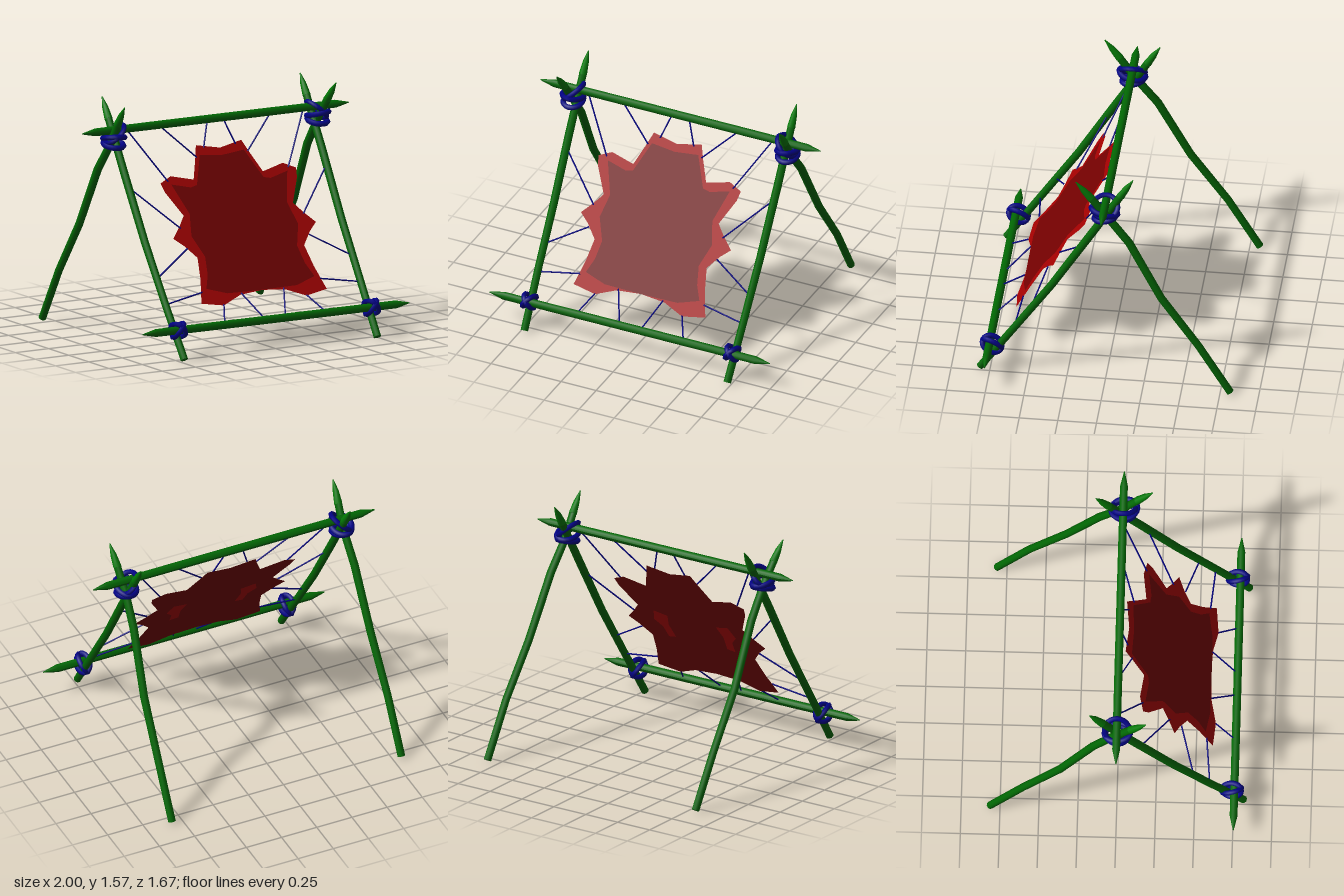
import * as THREE from 'three';

const V = (x, y, z) => new THREE.Vector3(x, y, z);
const mat = (name, color) => Object.assign(new THREE.MeshStandardMaterial({ color }), { name });

export function createModel() {
  const root = new THREE.Group();
  const wood = mat('green wood', 0x016703);
  const cutWood = mat('fresh cut green wood', 0x027a04);
  const rope = mat('navy rope', 0x010186);
  const hideRed = mat('bright red hide', 0xa60101);
  const hideDark = mat('dark red hide', 0x750101);

  const add = (geo, material, name, parent = root) => {
    const m = new THREE.Mesh(geo, material);
    m.name = name;
    parent.add(m);
    return m;
  };

  // Pole swept through points, with one radius per point
  function poleGeometry(pts, radii, side) {
    const n = pts.length - 1;
    const geo = new THREE.CylinderGeometry(1, 1, 1, 9, n);
    const p = geo.attributes.position;
    for (let i = 0; i < p.count; i++) {
      const k = Math.round((p.getY(i) + 0.5) * n);
      const t = pts[Math.min(k + 1, n)].clone().sub(pts[Math.max(k - 1, 0)]).normalize();
      const w = side.clone().cross(t).normalize();
      const u = t.clone().cross(w);
      const q = pts[k].clone()
        .addScaledVector(u, p.getX(i) * radii[k])
        .addScaledVector(w, p.getZ(i) * radii[k]);
      p.setXYZ(i, q.x, q.y, q.z);
    }
    geo.computeVertexNormals();
    return geo;
  }

  // Closed rope loop in the plane of u and v
  function loop(c, u, v, a, b, r, name, parent) {
    const pts = [];
    for (let i = 0; i < 12; i++) {
      const t = i / 12 * Math.PI * 2;
      pts.push(c.clone().addScaledVector(u, a * Math.cos(t)).addScaledVector(v, b * Math.sin(t)));
    }
    const curve = new THREE.CatmullRomCurve3(pts, true);
    add(new THREE.TubeGeometry(curve, 24, r, 6, true), rope, name, parent);
  }

  // Crossbars with sharpened ends
  for (const [name, y, z] of [['topBar', 1.383, 0], ['bottomBar', 0.198, 0.755]]) {
    const xs = [-1, -0.9, -0.4, 0.4, 0.9, 1];
    add(poleGeometry(xs.map(x => V(x, y, z)), [0.003, 0.026, 0.027, 0.027, 0.026, 0.003], V(0, 1, 0)), wood, name);
  }

  // Bent legs that cross under the top bar; path points are x, y, z and a sideways shift
  const frontPath = [[0.724, 0.015, 0.815, 0.002], [0.733, 0.36, 0.582], [0.738, 0.705, 0.35], [0.743, 1.107, 0.107],
    [0.743, 1.3, -0.01], [0.743, 1.44, -0.095], [0.743, 1.51, -0.138], [0.743, 1.572, -0.177]];
  const backPath = [[0.815, 0.015, -0.815, 0.008], [0.815, 0.366, -0.607, 0.008], [0.805, 0.71, -0.366, 0.005],
    [0.785, 1.11, -0.156], [0.775, 1.3, -0.01], [0.785, 1.44, 0.09], [0.79, 1.505, 0.14], [0.794, 1.565, 0.187]];
  for (const s of [1, -1]) {
    const word = s > 0 ? 'left' : 'right';
    for (const [part, path] of [['FrontLeg', frontPath], ['BackLeg', backPath]]) {
      const pts = path.map(([x, y, z, shift = 0]) => V(s * x + shift, y, z));
      add(poleGeometry(pts.slice(0, 6), [0.025, 0.025, 0.026, 0.027, 0.026, 0.025], V(1, 0, 0)), wood, word + part);
      add(poleGeometry(pts.slice(5), [0.027, 0.02, 0.003], V(1, 0, 0)), cutWood, word + part + 'Tip');
    }

    // Lashing at the apex: two wraps under the bar and one loop over it
    const top = new THREE.Group();
    top.name = word + 'TopLashing';
    root.add(top);
    loop(V(s * 0.765, 1.335, 0.005), V(1, s * 0.1, 0).normalize(), V(0, 0.22, 1).normalize(), 0.066, 0.088, 0.018, 'upperWrap', top);
    loop(V(s * 0.765, 1.292, 0), V(1, 0, 0), V(0, -0.2, 1).normalize(), 0.064, 0.074, 0.018, 'lowerWrap', top);
    loop(V(s * 0.76, 1.362, 0), V(-s * 0.8, 0.75, 0).normalize(), V(0, 0, 1), 0.08, 0.08, 0.017, 'barLoop', top);

    // Crossed lashing where the front leg meets the bottom bar
    const low = new THREE.Group();
    low.name = word + 'BottomLashing';
    root.add(low);
    const d = V(0, 0.45, 0.89);
    for (const k of [1, -1])
      loop(V(s * 0.724, 0.195, 0.738), V(k * 0.64, 0.7, -0.35).normalize(), d, 0.052, 0.068, 0.017, 'crossLoop', low);
  }

  // Hide stretched in the sloping plane of the front legs
  const hideZ = y => 0.04 + 0.625 * (1.225 - y);
  function sheet(points, offset, back) {
    const geo = new THREE.ShapeGeometry(new THREE.Shape(points.map(([x, y]) => new THREE.Vector2(x, y))));
    const p = geo.attributes.position;
    for (let i = 0; i < p.count; i++) p.setZ(i, hideZ(p.getY(i)) + offset);
    if (back) geo.index.array.reverse();
    geo.computeVertexNormals();
    return geo;
  }
  const mirrorOutline = half => [...half, ...half.filter(q => q[0] > 0).reverse().map(([x, y]) => [-x, y])];
  const outline = mirrorOutline([[0, 1.2], [0.17, 1.23], [0.205, 1.15], [0.26, 1.035], [0.42, 1.07], [0.508, 1.035],
    [0.495, 0.98], [0.41, 0.835], [0.465, 0.775], [0.535, 0.71], [0.47, 0.66], [0.4, 0.585], [0.425, 0.46],
    [0.47, 0.32], [0.31, 0.295], [0.17, 0.345], [0, 0.358]]);
  const inner = mirrorOutline([[0, 1.158], [0.165, 1.173], [0.25, 1.003], [0.3, 0.993], [0.435, 1.023], [0.4, 0.933],
    [0.365, 0.843], [0.4, 0.713], [0.345, 0.588], [0.365, 0.483], [0.405, 0.403], [0.26, 0.363], [0, 0.36]]);
  add(sheet(outline, 0.003), hideRed, 'hideFront');
  add(sheet(inner, 0.008), hideDark, 'hideInnerPanel');
  add(sheet(outline, -0.003, true), hideDark, 'hideBack');
  for (const s of [1, -1]) {
    const patch = [[0.19, 0.8], [0.29, 0.82], [0.32, 0.74], [0.27, 0.69], [0.26, 0.61], [0.2, 0.62], [0.215, 0.72]];
    add(sheet((s > 0 ? patch : [...patch].reverse()).map(([x, y]) => [s * x, y]), -0.007, true), hideRed, 'hideBackPatch');
  }

  // Thin cords from the hide to the frame: hide x, y then frame x, y, z
  const cords = [
    [0.45, 1.04, 0.655, 1.365, 0], [0.19, 1.16, 0.405, 1.365, 0], [0.12, 1.21, 0.063, 1.365, 0],
    [0.46, 0.765, 0.725, 1.015, 0.165], [0.455, 0.645, 0.725, 0.495, 0.49], [0.44, 0.385, 0.72, 0.34, 0.595],
    [0.31, 0.3, 0.375, 0.21, 0.74], [0.16, 0.355, 0.08, 0.21, 0.74],
  ];
  for (const s of [1, -1])
    for (const [hx, hy, fx, fy, fz] of cords) {
      const a = V(s * hx, hy, hideZ(hy) + 0.004), b = V(s * fx, fy, fz);
      add(new THREE.TubeGeometry(new THREE.LineCurve3(a, b), 1, 0.005, 6), rope, 'cord');
    }

  return root;
}
